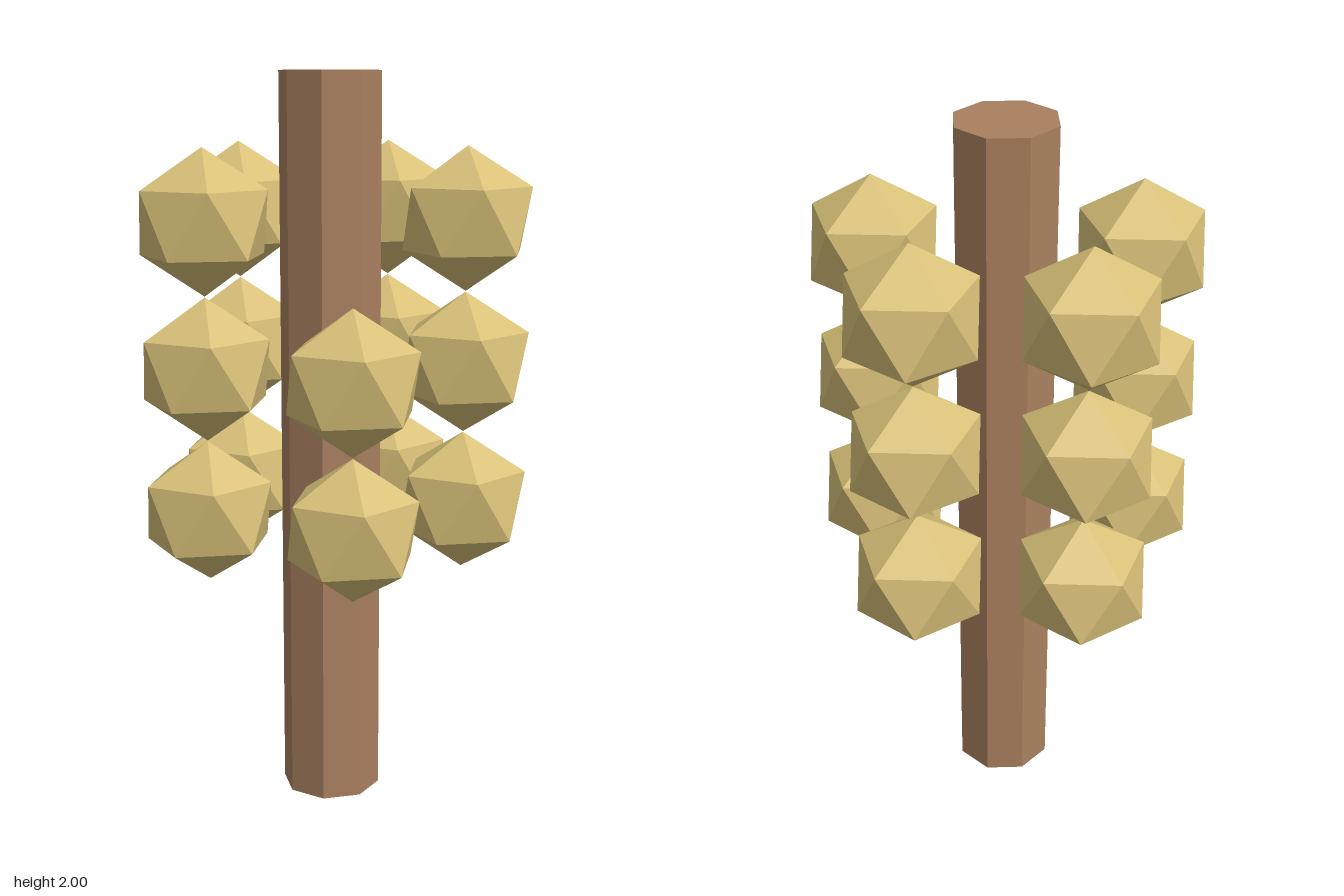
import * as THREE from 'three';

export function createModel() {
  const model = new THREE.Group();
  const bark = new THREE.MeshStandardMaterial({ color: 0xa9805f, flatShading: true });
  bark.name = 'brown bark';
  const straw = new THREE.MeshStandardMaterial({ color: 0xd8c078, flatShading: true });
  straw.name = 'pale gold';

  const axisX = -0.036; // the post stands slightly off centre

  // Octagonal post
  const post = new THREE.Mesh(new THREE.CylinderGeometry(0.137, 0.137, 2, 8), bark);
  post.name = 'post';
  post.position.set(axisX, 1, 0);
  model.add(post);

  // Faceted ball, turned so that one corner points straight up
  const ballGeometry = new THREE.IcosahedronGeometry(0.19, 0);
  ballGeometry.rotateZ(-Math.atan(2 / (1 + Math.sqrt(5))));

  // Three rings of five balls; the top ring lacks its front ball
  const heights = [0.856, 1.238, 1.62];
  const ringRadius = 0.364;
  heights.forEach((y, level) => {
    const ring = new THREE.Group();
    ring.name = `ballRing${level + 1}`;
    ring.position.set(axisX, y, 0);
    for (let i = 0; i < 5; i++) {
      if (level === 2 && i === 1) continue;
      const a = (i / 5) * Math.PI * 2;
      const ball = new THREE.Mesh(ballGeometry, straw);
      ball.name = 'ball';
      ball.position.set(ringRadius * Math.cos(a), 0, ringRadius * Math.sin(a));
      ring.add(ball);
    }
    model.add(ring);
  });

  return model;
}
